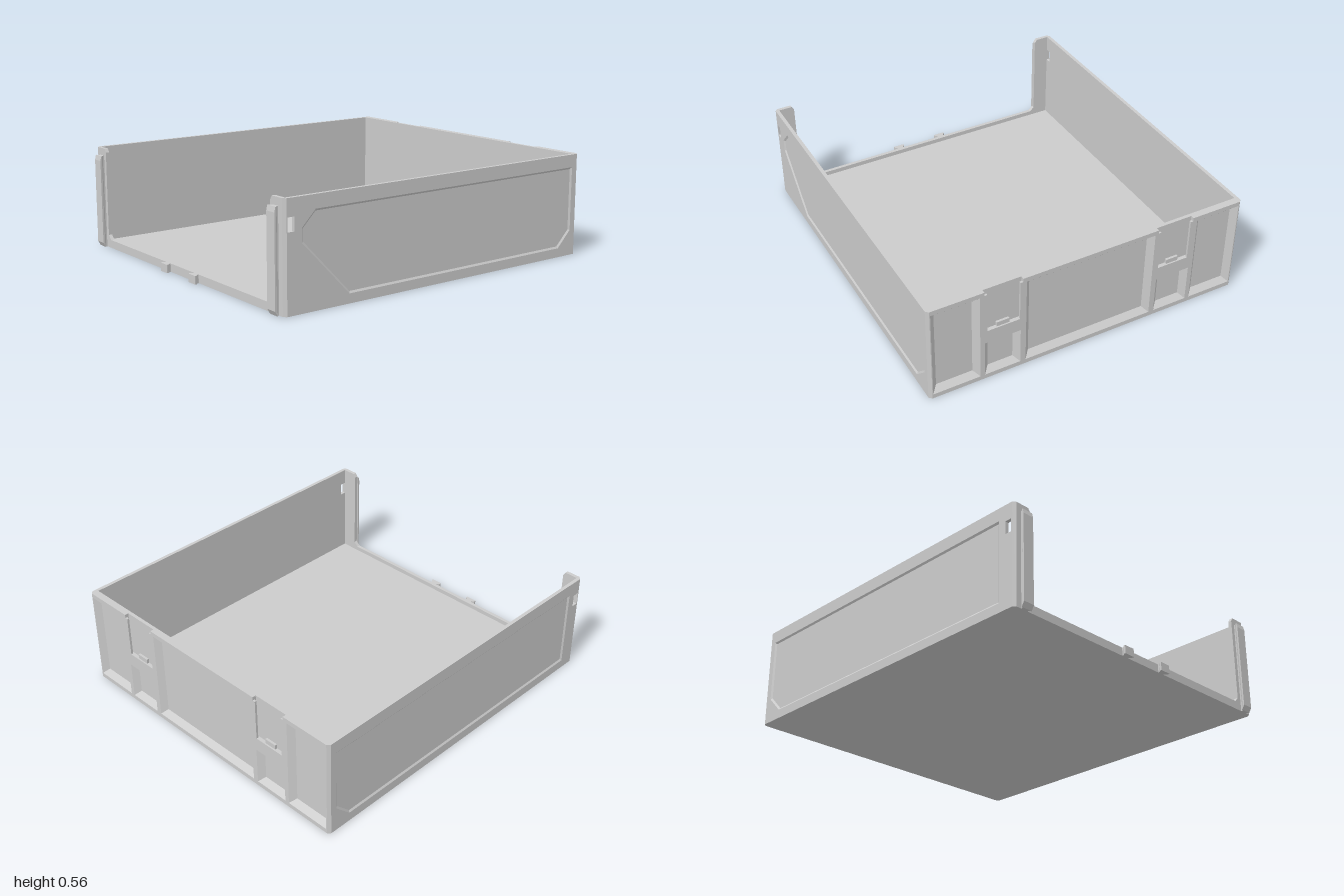
import * as THREE from 'three';

const material = new THREE.MeshStandardMaterial({ color: 0xcccccc, flatShading: true });
const W = 0.905, H = 0.56, BACK = -1, FRONT = 0.97, CUT = 0.015;

function mesh(name, geometry, parent) {
  const m = new THREE.Mesh(geometry, material);
  m.name = name;
  parent.add(m);
  return m;
}

const toPoints = (list) => list.map(([x, y]) => new THREE.Vector2(x, y));
const rect = (x0, y0, x1, y1) => [[x0, y0], [x1, y0], [x1, y1], [x0, y1]];

// Straight extrusion of an outline with holes, from z0 to z1
function slab(outline, holes, z0, z1) {
  const shape = new THREE.Shape(toPoints(outline));
  for (const hole of holes) shape.holes.push(new THREE.Path(toPoints(hole)));
  const g = new THREE.ExtrudeGeometry(shape, { depth: z1 - z0, bevelEnabled: false });
  return g.translate(0, 0, z0);
}

// Upright extrusion of a plan given as [x, z]
function upright(plan, height, steps = 1) {
  const shape = new THREE.Shape(toPoints(plan.map(([x, z]) => [x, -z])));
  const g = new THREE.ExtrudeGeometry(shape, { depth: height, steps, bevelEnabled: false });
  return g.rotateX(-Math.PI / 2);
}

// Moves every edge of a convex counter-clockwise polygon inward
function inset(list, amount) {
  const p = toPoints(list), n = p.length;
  return p.map((b, i) => {
    const u = b.clone().sub(p[(i + n - 1) % n]).normalize();
    const v = p[(i + 1) % n].clone().sub(b).normalize();
    const k = amount / (1 + u.dot(v));
    return [b.x - (u.y + v.y) * k, b.y + (u.x + v.x) * k];
  });
}

// Sloping border that leads from the face down to a recess floor
function slope(outer, amount, depth) {
  const inner = inset(outer, amount), pos = [];
  outer.forEach((a, i) => {
    const j = (i + 1) % outer.length;
    const A = [...a, 0], B = [...outer[j], 0];
    const C = [...inner[j], -depth], D = [...inner[i], -depth];
    pos.push(...A, ...B, ...C, ...A, ...C, ...D);
  });
  const g = new THREE.BufferGeometry();
  g.setAttribute('position', new THREE.Float32BufferAttribute(pos, 3));
  g.computeVertexNormals();
  return g;
}

// Wall whose outer face is at local z = 0, with bevelled recesses
function recessedWall(name, { outline, face, recesses, holes, thickness, depth, bevel }) {
  const wall = new THREE.Group();
  wall.name = name;
  mesh(name + 'Base', slab(outline, holes, -thickness, -depth), wall);
  mesh(name + 'Face', slab(face, [...holes, ...recesses], -depth, 0), wall);
  for (const r of recesses) mesh(name + 'RecessBevel', slope(r, bevel, depth), wall);
  return wall;
}

function sideWall(s) {
  // Local x runs toward the back on the right side and toward the front on the left
  const orient = (list) => (s > 0 ? list.map(([z, y]) => [-z, y]).reverse() : list);
  const outline = orient(rect(BACK + CUT, 0, FRONT - CUT, H));
  const front = s > 0
    ? [[0.59, 0.05], [0.87, 0.34], [0.87, 0.41], [0.79, 0.49]]
    : [[0.87, 0.05], [0.87, 0.49]];
  const panel = orient([[-0.86, 0.05], ...front, [-0.95, 0.49], [-0.95, 0.14]]);
  const wall = recessedWall(s > 0 ? 'sideWallPositiveX' : 'sideWallNegativeX', {
    outline, face: outline, recesses: [panel],
    holes: [orient(rect(0.912, 0.4, 0.95, 0.47))],
    thickness: 0.02, depth: 0.007, bevel: 0.01,
  });
  wall.rotation.y = s * Math.PI / 2;
  wall.position.x = s * W;
  return wall;
}

function backWall() {
  const w = W - CUT;
  const recesses = [rect(-0.37, 0.025, 0.37, 0.535)];
  for (const s of [-1, 1]) {
    const span = (a, b) => (s > 0 ? [a, b] : [-b, -a]);
    const [a, b] = span(0.625, 0.885), [c, d] = span(0.4, 0.6);
    recesses.push(rect(a, 0.025, b, 0.535), rect(c, 0.025, d, 0.235));
  }
  // The face is notched from the top for the two sockets
  const face = [[-w, 0], [w, 0], [w, H], [0.6, H], [0.6, 0.31], [0.39, 0.31], [0.39, H],
    [-0.39, H], [-0.39, 0.31], [-0.6, 0.31], [-0.6, H], [-w, H]];
  const wall = recessedWall('backWall', {
    outline: rect(-w, 0, w, H), face, recesses, holes: [],
    thickness: 0.04, depth: 0.03, bevel: 0.03,
  });
  for (const s of [-1, 1]) {
    const x = s * 0.495;
    mesh('socketFloor', slab(rect(x - 0.105, 0.31, x + 0.105, H), [], -0.03, -0.021), wall);
    mesh('socketLatch', slab(rect(x - 0.035, 0.31, x + 0.035, 0.335), [], -0.021, -0.008), wall);
    for (const e of [-1, 1]) {
      const c = x + e * 0.0975;
      mesh('socketLip', slab(rect(c - 0.0075, 0.31, c + 0.0075, H - 0.02), [], -0.012, 0), wall);
    }
  }
  wall.rotation.y = Math.PI;
  wall.position.z = BACK;
  return wall;
}

// Flared rail standing on the front, with its foot tapered back
function rail(name, x, height, taper, parent) {
  const half = [[0.02, 0.965], [0.02, 0.978], [0.032, 0.99], [0.032, 1]];
  const plan = [...half, ...half.map(([a, z]) => [-a, z]).reverse()];
  const g = upright(plan, height, taper ? 20 : 1);
  const p = g.attributes.position;
  if (taper) {
    for (let i = 0; i < p.count; i++) {
      if (p.getY(i) < 0.01) p.setZ(i, Math.min(p.getZ(i), 0.985));
      if (p.getY(i) > height - 0.01) p.setZ(i, Math.min(p.getZ(i), 0.994));
    }
    g.computeVertexNormals();
  }
  mesh(name, g, parent).position.x = x;
}

export function createModel() {
  const model = new THREE.Group();
  model.name = 'openTray';

  // Floor plate with clipped corners
  const w = W - CUT, f = FRONT - CUT, b = BACK + CUT;
  mesh('floor', upright([[-w, BACK], [w, BACK], [W, b], [W, f],
    [w, FRONT], [-w, FRONT], [-W, f], [-W, b]], 0.02), model);

  model.add(sideWall(1), sideWall(-1), backWall());

  // Front frame around the open end
  const edge = [[0.785, H], [0.797, H - 0.02], [0.797, 0.07], [0.772, 0.045]];
  edge[0][0] = 0.81;
  const frame = [[-w, 0], [w, 0], [w, H], ...edge,
    ...edge.map(([x, y]) => [-x, y]).reverse(), [-w, H]];
  mesh('frontFrame', slab(frame, [], FRONT - 0.02, FRONT), model);

  for (const s of [-1, 1]) {
    // Clipped vertical corners
    for (const [near, far] of [[f, FRONT], [b, BACK]]) {
      mesh('cornerEdge', upright([[s * w, near], [s * W, near], [s * w, far]], H), model);
    }
    rail('frontRail', s * 0.84, 0.52, true, model);
    rail('frontPeg', s * 0.138, 0.045, false, model);
  }
  return model;
}
